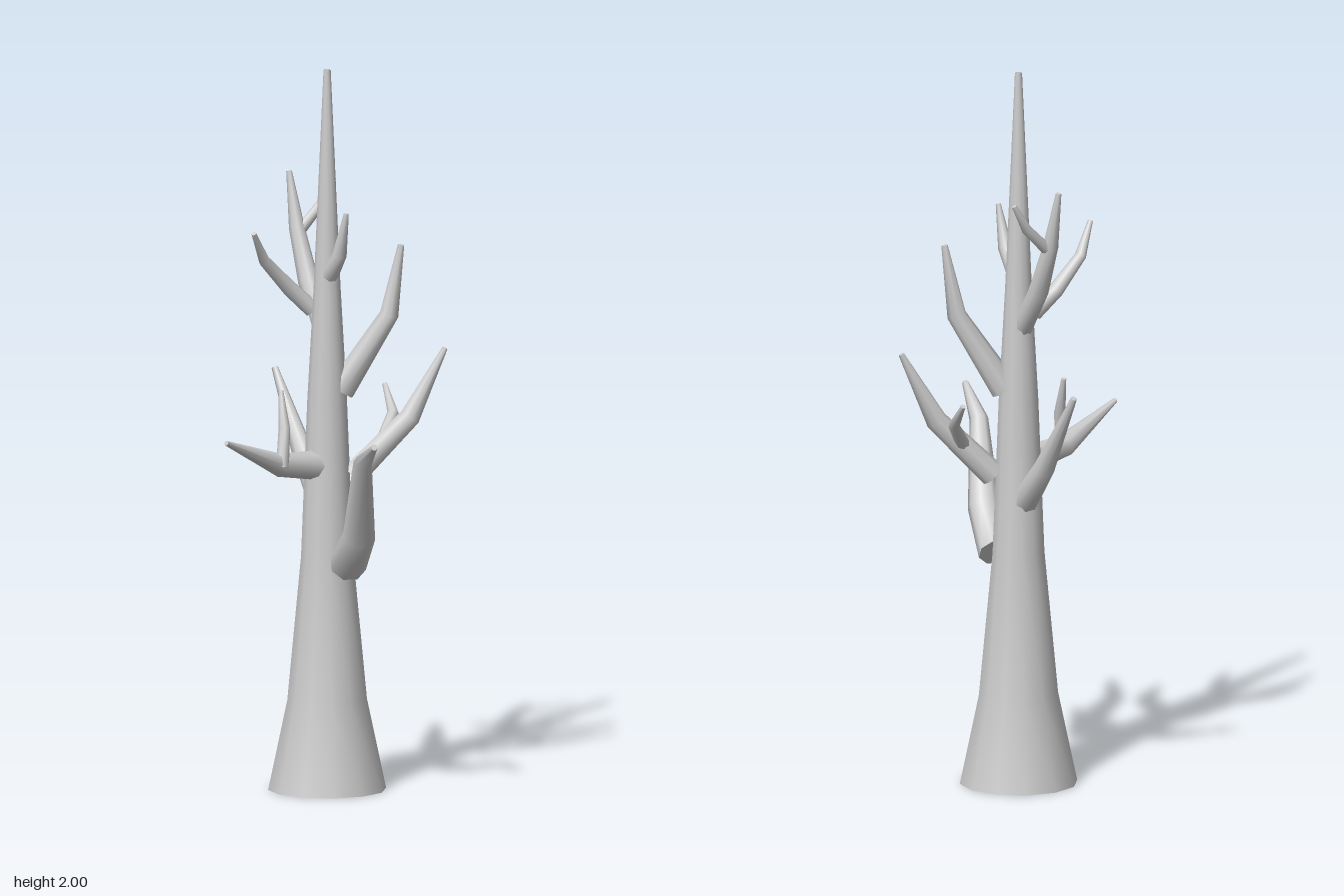
import * as THREE from 'three';

const bark = new THREE.MeshStandardMaterial({ color: 0xcccccc, side: THREE.DoubleSide });

// Tapered limb: rings of vertices along nodes [x, y, z, radius], closed at both ends
function limbGeometry(nodes, sides = 8) {
  const pts = nodes.map(n => new THREE.Vector3(n[0], n[1], n[2]));
  const last = pts.length - 1;
  const pos = [], idx = [];
  const tangents = pts.map((p, i) => {
    const t = new THREE.Vector3();
    if (i > 0) t.add(p.clone().sub(pts[i - 1]).normalize());
    if (i < last) t.add(pts[i + 1].clone().sub(p).normalize());
    return t.normalize();
  });
  let u = new THREE.Vector3(0.31, 0.1, 0.95);
  const ring = i => {
    const t = tangents[i];
    u = u.clone().addScaledVector(t, -u.dot(t)).normalize();
    const v = t.clone().cross(u);
    const start = pos.length / 3;
    for (let k = 0; k < sides; k++) {
      const a = k / sides * Math.PI * 2;
      const p = pts[i].clone()
        .addScaledVector(u, Math.cos(a) * nodes[i][3])
        .addScaledVector(v, Math.sin(a) * nodes[i][3]);
      pos.push(p.x, p.y, p.z);
    }
    return start;
  };
  const cap = (i, flip) => {
    const s = ring(i);
    for (let k = 1; k < sides - 1; k++) {
      idx.push(s, flip ? s + k + 1 : s + k, flip ? s + k : s + k + 1);
    }
  };
  cap(0, true);
  let prev = ring(0);
  for (let i = 1; i <= last; i++) {
    const next = ring(i);
    for (let k = 0; k < sides; k++) {
      const j = (k + 1) % sides;
      idx.push(prev + k, prev + j, next + j, prev + k, next + j, next + k);
    }
    prev = next;
  }
  cap(last, false);
  const g = new THREE.BufferGeometry();
  g.setAttribute('position', new THREE.Float32BufferAttribute(pos, 3));
  g.setIndex(idx);
  g.computeVertexNormals();
  return g;
}

// Main boughs and the twigs growing from them
const limbs = {
  lowerLeftBough: [[0.0, 0.635, -0.06, 0.052], [0.12, 0.735, -0.01, 0.045], [0.21, 0.955, 0.045, 0.026], [0.347, 1.023, 0.107, 0.009]],
  lowerRightBough: [[-0.1, 0.78, -0.055, 0.04], [-0.215, 0.91, -0.068, 0.031], [-0.35, 1.135, -0.07, 0.009]],
  frontBough: [[-0.08, 0.905, -0.02, 0.042], [-0.065, 0.92, 0.125, 0.032], [-0.023, 1.008, 0.338, 0.007]],
  frontTwig: [[-0.045, 0.915, 0.13, 0.018], [-0.07, 1.02, 0.105, 0.016], [-0.1, 1.12, 0.095, 0.007]],
  backBough: [[-0.045, 0.87, -0.11, 0.036], [0.03, 1.03, -0.25, 0.03], [0.077, 1.22, -0.335, 0.008]],
  backTwig: [[-0.015, 0.96, -0.19, 0.02], [-0.055, 1.03, -0.255, 0.016], [-0.12, 1.1, -0.275, 0.007]],
  upperBackBough: [[-0.06, 1.11, -0.08, 0.04], [0.018, 1.32, -0.188, 0.027], [0.043, 1.515, -0.21, 0.009]],
  upperRightBough: [[-0.09, 1.27, -0.05, 0.03], [-0.175, 1.4, -0.055, 0.029], [-0.235, 1.54, -0.06, 0.022], [-0.264, 1.695, -0.055, 0.008]],
  upperRightTwig: [[-0.23, 1.53, -0.065, 0.016], [-0.23, 1.6, -0.14, 0.014], [-0.223, 1.67, -0.178, 0.007]],
  upperFrontTwig: [[-0.13, 1.33, -0.035, 0.024], [-0.153, 1.39, 0.025, 0.022], [-0.155, 1.475, 0.11, 0.016], [-0.128, 1.56, 0.166, 0.007]],
  upperLeftTwig: [[-0.075, 1.42, -0.047, 0.026], [-0.015, 1.495, -0.043, 0.02], [0.013, 1.613, -0.045, 0.007]],
};

export function createModel() {
  const tree = new THREE.Group();
  tree.name = 'bareTree';

  // Trunk: twelve-sided, flared at the foot, open underneath
  const profile = [[0.163, 0], [0.11, 0.25], [0.072, 0.65], [0.055, 1.08], [0.037, 1.4], [0.01, 2], [0, 2]]
    .map(([r, y]) => new THREE.Vector2(r, y));
  const trunk = new THREE.Mesh(new THREE.LatheGeometry(profile, 12), bark);
  trunk.name = 'trunk';
  trunk.position.set(-0.082, 0, -0.05);
  tree.add(trunk);

  for (const [name, nodes] of Object.entries(limbs)) {
    const limb = new THREE.Mesh(limbGeometry(nodes), bark);
    limb.name = name;
    tree.add(limb);
  }
  return tree;
}
